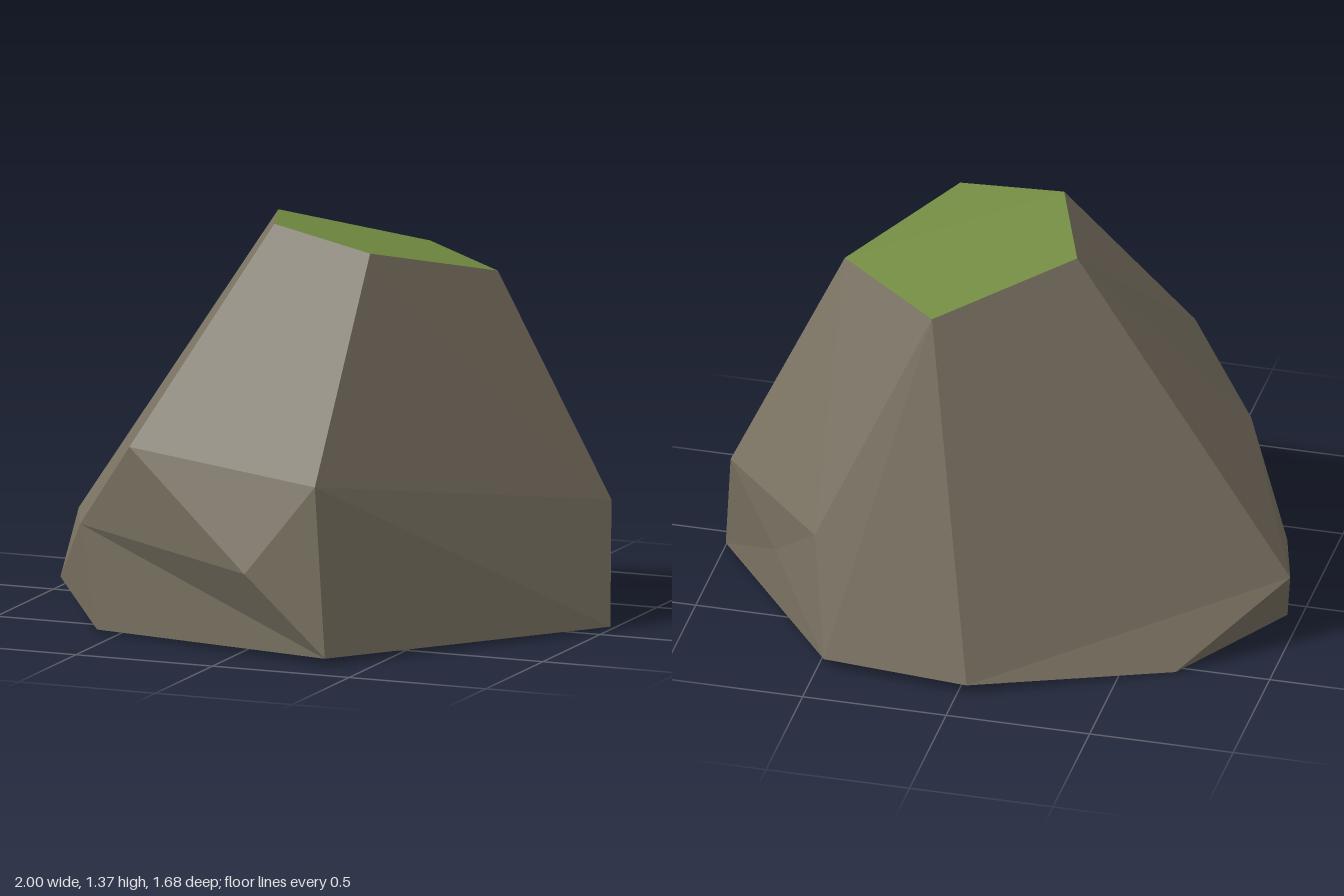
import * as THREE from 'three';

// Corner points of the boulder, ring by ring
const P = {
  // cap rim
  t0: [-0.10, 1.37, 0.22], t1: [0.28, 1.31, 0.29], t2: [0.58, 1.20, -0.11],
  t3: [0.19, 1.21, -0.45], t4: [-0.24, 1.34, -0.15],
  // shoulder
  m0: [-0.44, 0.66, 0.675], m1: [0.27, 0.59, 0.75], m2: [0.95, 0.42, -0.22],
  m3: [0.55, 0.42, -0.64], m4: [-1.0, 0.24, -0.22],
  // chipped front and side corners
  c0: [-0.66, 0.36, 0.58], c1: [0.05, 0.29, 0.84], c2: [-0.87, 0.10, 0.25],
  c3: [0.74, 0.22, -0.435],
  // base
  b0: [0.34, 0.02, 0.83], b1: [1.0, 0.01, -0.09], b2: [0.48, 0.03, -0.79],
  b3: [-0.03, 0.03, -0.84], b4: [-0.68, 0.0, -0.53], b5: [-0.96, 0.02, -0.10],
  b6: [-0.59, 0.005, 0.60],
};

// Facets as corner lists, each filled as a fan from its first corner
const ROCK = [
  't0 m0 m1 t1', 'm0 c1 m1', 'm0 c0 c1', 'm1 c1 b0', 'c0 b0 c1', 'c0 b6 b0', // front
  't1 m1 m2 t2', 'm1 b1 m2', 'm1 b0 b1', // right
  't2 m2 m3', 't2 m3 t3', 'c3 m2 m3 b2 b1 m2', // right back
  't3 m3 b2', 't3 b2 b3', 't3 b3 m4 t4', 'm4 b3 b4', // back
  't4 m4 c0 m0 t0', 'm4 c2 c0', 'c2 b6 c0', 'c2 b5 b6', 'm4 b5 c2', 'm4 b4 b5', // left
  'b6 b5 b4 b3 b2 b1 b0', // underside
];
const CAP = ['t0 t1 t2 t3 t4'];

// Builds flat facets, turning each triangle to face away from the centre
function facets(list) {
  const centre = new THREE.Vector3(0, 0.5, 0);
  const pos = [];
  for (const face of list) {
    const v = face.split(' ').map((k) => new THREE.Vector3(...P[k]));
    for (let i = 1; i < v.length - 1; i++) {
      const [a, b, c] = [v[0], v[i], v[i + 1]];
      const n = b.clone().sub(a).cross(c.clone().sub(a));
      const mid = a.clone().add(b).add(c).divideScalar(3).sub(centre);
      const tri = n.dot(mid) > 0 ? [a, b, c] : [a, c, b];
      for (const p of tri) pos.push(p.x, p.y, p.z);
    }
  }
  const g = new THREE.BufferGeometry();
  g.setAttribute('position', new THREE.Float32BufferAttribute(pos, 3));
  g.computeVertexNormals();
  return g;
}

export function createModel() {
  const stone = new THREE.MeshStandardMaterial({ color: 0x7a7262 });
  stone.name = 'stone';
  const moss = new THREE.MeshStandardMaterial({ color: 0x718a40 });
  moss.name = 'moss';

  const model = new THREE.Group();
  model.name = 'boulder';
  for (const [name, list, mat] of [['rockBody', ROCK, stone], ['mossyTop', CAP, moss]]) {
    const mesh = new THREE.Mesh(facets(list), mat);
    mesh.name = name;
    model.add(mesh);
  }
  return model;
}
